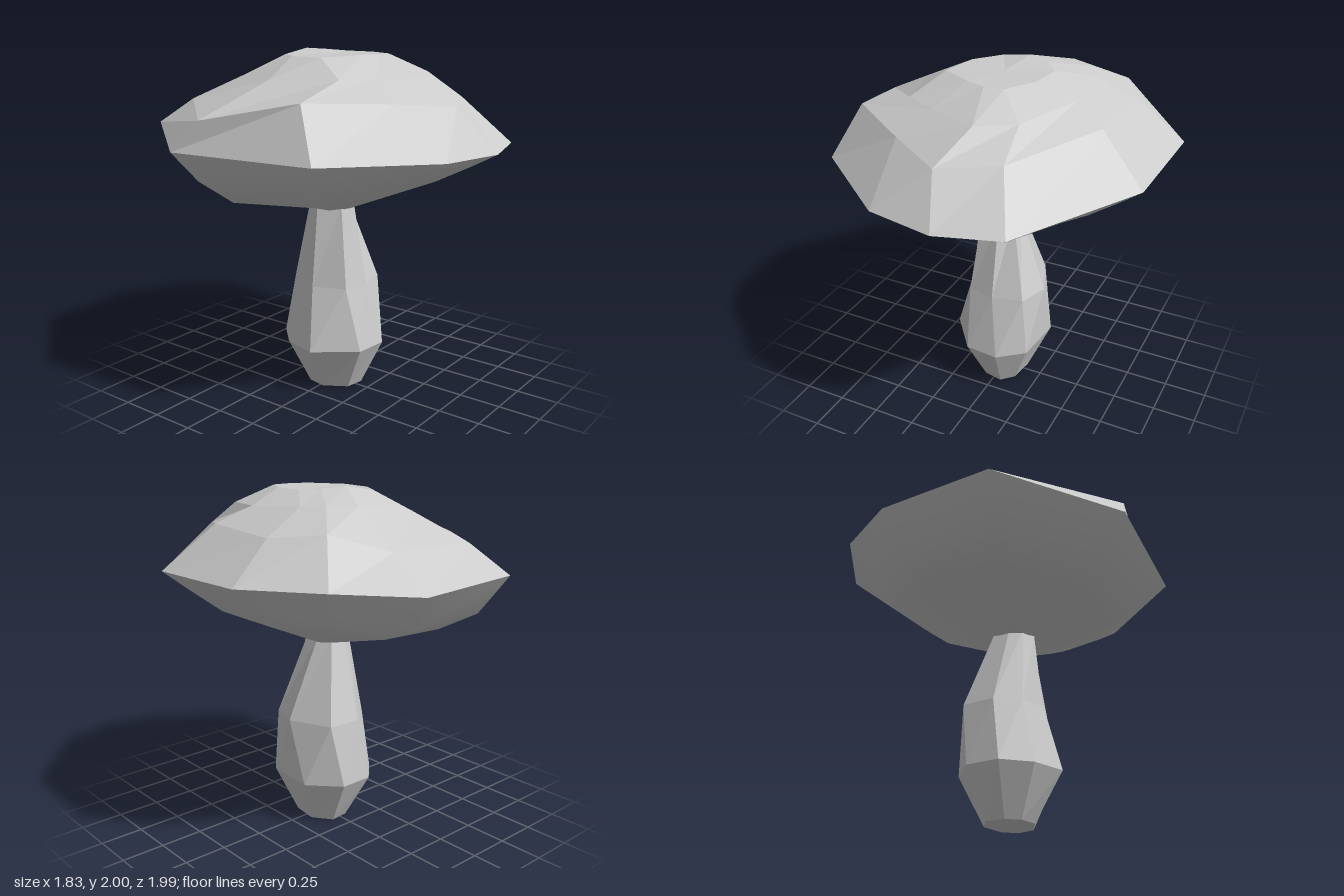
import * as THREE from 'three';

// Skins a stack of equal-length rings, listed from bottom to top.
// Points run clockwise seen from above; optional end points close the stack.
function loft(rings, bottom, top) {
  const n = rings[0].length;
  const positions = rings.flat(2);
  const index = [];
  for (let r = 0; r < rings.length - 1; r++) {
    for (let i = 0; i < n; i++) {
      const j = (i + 1) % n;
      const a = r * n, b = a + n;
      index.push(a + j, a + i, b + i, a + j, b + i, b + j);
    }
  }
  const fan = (point, start, up) => {
    const c = positions.length / 3;
    positions.push(...point);
    for (let i = 0; i < n; i++) {
      const p = start + i, q = start + (i + 1) % n;
      index.push(up ? q : p, up ? p : q, c);
    }
  };
  if (bottom) fan(bottom, 0, false);
  if (top) fan(top, (rings.length - 1) * n, true);
  const g = new THREE.BufferGeometry();
  g.setAttribute('position', new THREE.Float32BufferAttribute(positions, 3));
  g.setIndex(index);
  g.computeVertexNormals();
  return g;
}

// Flat ring of [x, z] points placed at one height
const level = (y, pts) => pts.map(([x, z]) => [x, y, z]);

export function createModel() {
  const group = new THREE.Group();
  group.name = 'mushroom';
  const add = (name, geometry, flatShading) => {
    const material = new THREE.MeshStandardMaterial({ color: 0xcccccc, flatShading });
    const mesh = new THREE.Mesh(geometry, material);
    mesh.name = name;
    group.add(mesh);
  };

  // Cap: uneven ten-sided rings from the rim to the crown, starting at the back
  const rim = [
    [0.22, 1.54, -1], [0.64, 1.58, -0.77], [0.91, 1.58, -0.39], [0.89, 1.57, 0.28], [0.44, 1.5, 0.9],
    [0.09, 1.49, 0.99], [-0.3, 1.49, 0.91], [-0.83, 1.5, 0.49], [-0.92, 1.5, -0.37], [-0.44, 1.56, -0.98],
  ];
  const shoulder = [
    [0.2, 1.72, -0.75], [0.5, 1.82, -0.6], [0.66, 1.79, -0.34], [0.62, 1.81, 0.16], [0.31, 1.75, 0.65],
    [0, 1.73, 0.79], [-0.32, 1.76, 0.6], [-0.71, 1.78, 0.33], [-0.86, 1.67, -0.22], [-0.38, 1.71, -0.75],
  ];
  const upper = [
    [0.2, 1.92, -0.5], [0.33, 1.93, -0.4], [0.4, 1.92, -0.28], [0.45, 1.9, 0.06], [0.29, 1.88, 0.44],
    [0.1, 1.88, 0.57], [-0.2, 1.87, 0.43], [-0.4, 1.87, 0.33], [-0.5, 1.86, -0.05], [-0.28, 1.86, -0.42],
  ];
  const crown = [
    [0.04, 2, -0.23], [0.17, 1.99, -0.18], [0.25, 1.98, -0.09], [0.23, 1.98, 0.11], [0.13, 1.98, 0.28],
    [0.02, 1.98, 0.29], [-0.1, 1.98, 0.25], [-0.29, 1.97, 0.13], [-0.25, 1.97, -0.1], [-0.13, 1.97, -0.25],
  ];
  add('cap', loft([rim, shoulder, upper, crown], null, [0, 1.975, 0]), true);

  // Underside: the rim drawn in towards the neck, fuller at the back and right
  const shrink = (k, heights) => rim.map(([x, , z], i) => [x * k, heights[i], z * k]);
  const outer = shrink(0.85, [1.33, 1.42, 1.47, 1.46, 1.41, 1.41, 1.4, 1.37, 1.33, 1.34]);
  const inner = shrink(0.65, [1.25, 1.28, 1.32, 1.32, 1.31, 1.31, 1.3, 1.24, 1.19, 1.23]);
  const neck = rim.map(([x, , z]) => [-0.03 + x * 0.12, 1.1, z * 0.125]);
  add('capUnderside', loft([neck, inner, outer, rim], [-0.03, 1.1, 0]), false);

  // Stem: eight-sided, swelling low down, starting at the front left
  const stem = [
    level(0, [[0.12, 0.1], [0.05, 0.17], [-0.06, 0.15], [-0.14, 0.02], [-0.12, -0.09], [-0.05, -0.15], [0.06, -0.16], [0.14, -0.05]]),
    level(0.28, [[0.23, 0.18], [0.08, 0.3], [-0.12, 0.28], [-0.3, 0.05], [-0.24, -0.16], [-0.1, -0.3], [0.1, -0.3], [0.26, -0.13]]),
    level(0.65, [[0.2, 0.18], [0.02, 0.22], [-0.14, 0.19], [-0.21, 0], [-0.17, -0.16], [-0.04, -0.26], [0.16, -0.25], [0.26, 0]]),
    level(1.12, [[0.08, 0.05], [0.02, 0.13], [-0.09, 0.12], [-0.16, 0], [-0.13, -0.08], [-0.06, -0.12], [0.04, -0.12], [0.08, -0.04]]),
  ];
  add('stem', loft(stem, [0, 0, 0]), true);

  return group;
}
